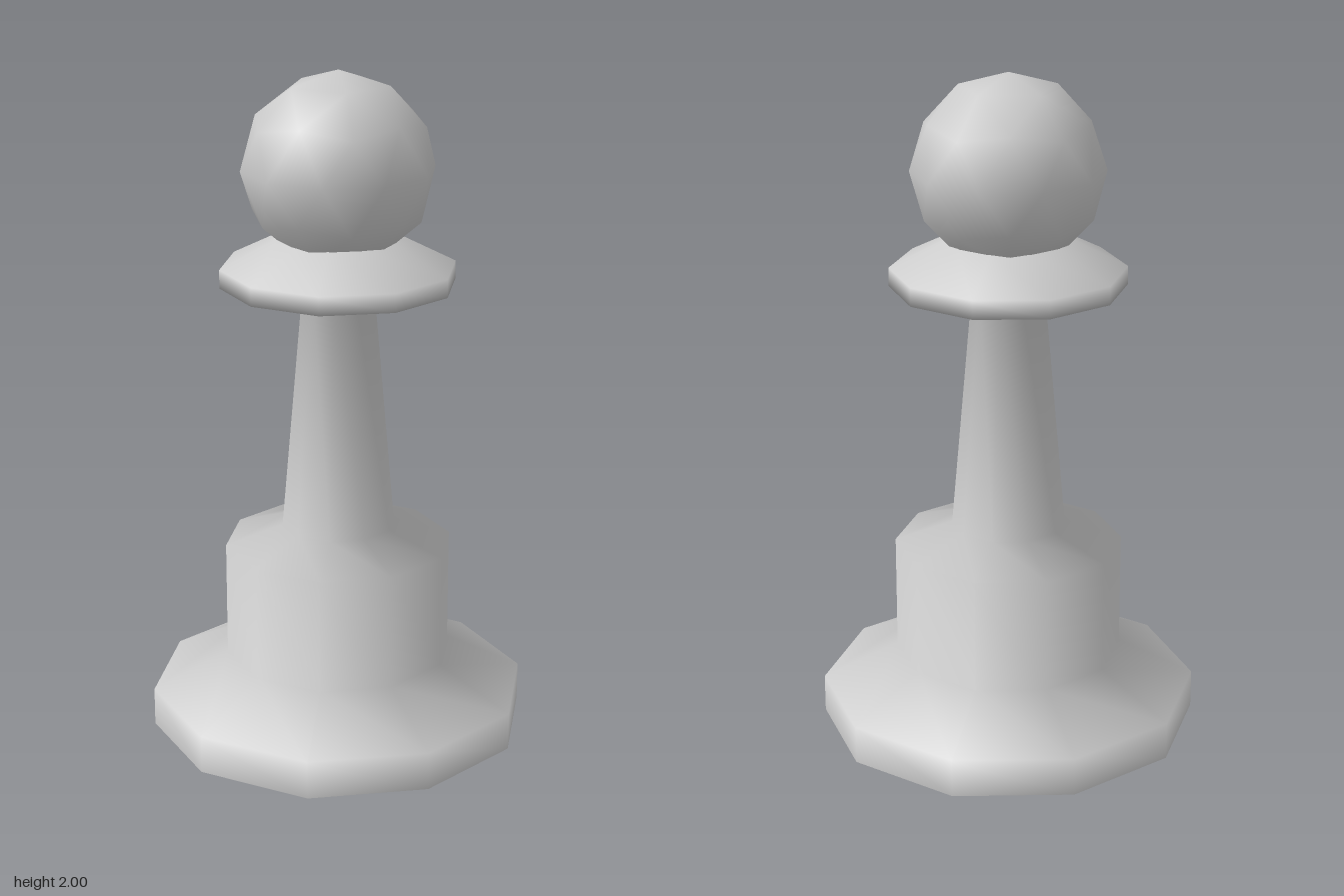
import * as THREE from 'three';

const material = new THREE.MeshStandardMaterial({ color: 0xcccccc, side: THREE.DoubleSide });

export function createModel() {
  const group = new THREE.Group();
  group.name = 'pawn';

  // Hollow ten-sided turned body: base, drum, tapered neck and collar
  const profile = [
    [0.57, 0], [0.57, 0.115],      // base rim
    [0.342, 0.228], [0.342, 0.575], // drum
    [0.17, 0.632], [0.105, 1.375],  // neck
    [0.348, 1.375], [0.348, 1.43],  // collar rim
    [0.18, 1.515],                  // collar top, tucked under the head
  ].map(([r, y]) => new THREE.Vector2(r, y));
  const body = new THREE.Mesh(new THREE.LatheGeometry(profile, 10), material);
  body.name = 'body';
  group.add(body);

  // Head: icosphere turned so that one vertex points straight up
  const radius = 0.284;
  const ball = new THREE.IcosahedronGeometry(radius, 1);
  ball.rotateZ(-Math.atan(2 / (1 + Math.sqrt(5))));
  const head = new THREE.Mesh(ball, material);
  head.name = 'head';
  head.position.y = 2 - radius;
  group.add(head);

  return group;
}
